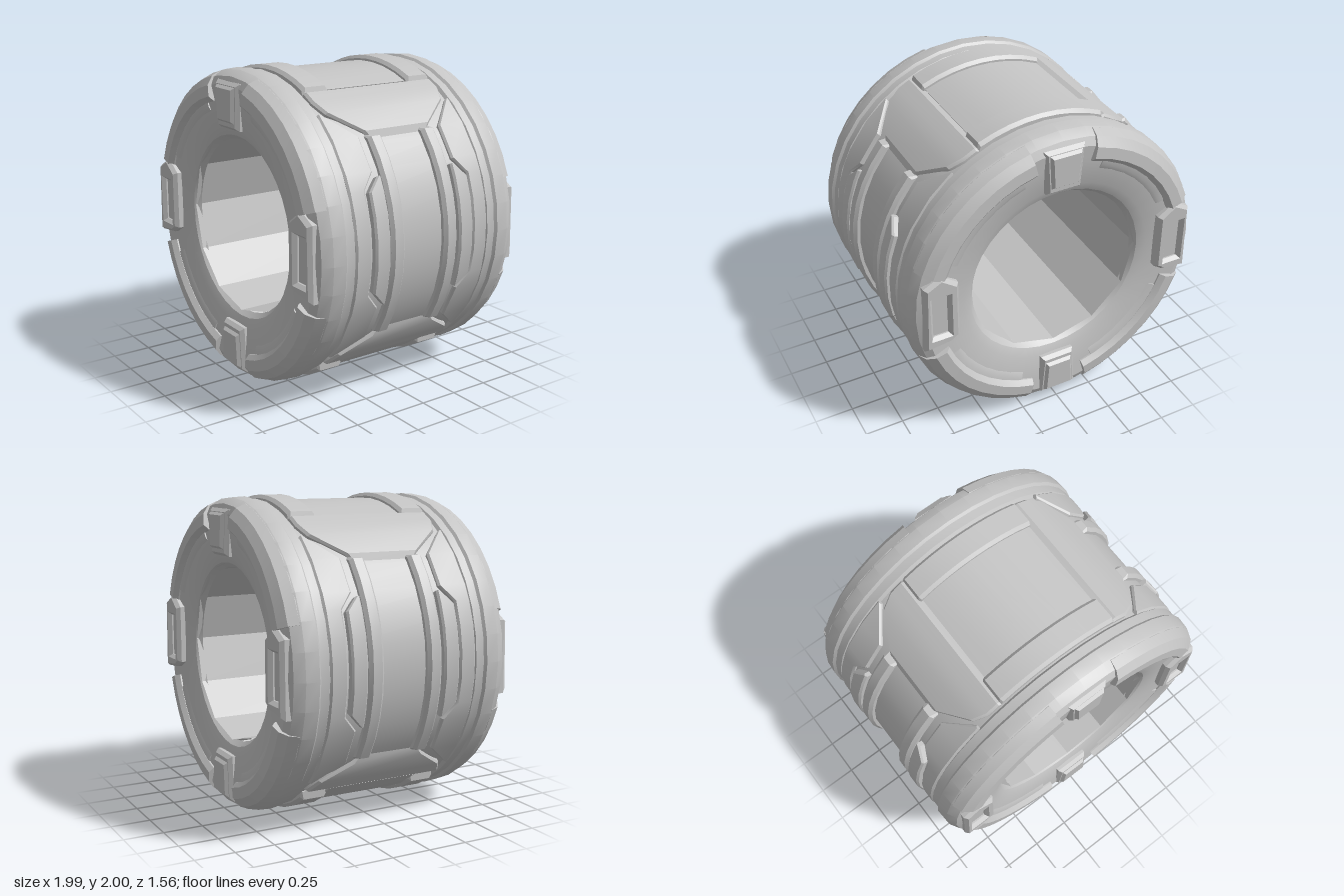
import * as THREE from 'three';
import { toCreasedNormals } from 'three/addons/utils/BufferGeometryUtils.js';

const metal = new THREE.MeshStandardMaterial({ color: 0xc4c4c4 });
metal.name = 'plainGrey';
const rad = THREE.MathUtils.degToRad;

function mesh(name, geometry, parent) {
  const m = new THREE.Mesh(toCreasedNormals(geometry, rad(28)), metal);
  m.name = name;
  parent.add(m);
  return m;
}

// Sweeps [radius, z] cross-sections round the z axis; sections = [{ a: degrees, p: profile }]
function sweep(sections, capped) {
  const pos = [], idx = [], n = sections[0].p.length;
  for (const { a, p } of sections)
    for (const [r, z] of p) pos.push(r * Math.cos(rad(a)), r * Math.sin(rad(a)), z);
  for (let i = 0; i + 1 < sections.length; i++)
    for (let j = 0; j < (capped ? n : n - 1); j++) {
      const k = (j + 1) % n, A = i * n, B = A + n;
      idx.push(A + j, B + j, A + k, B + j, B + k, A + k);
    }
  if (capped) {
    const E = (sections.length - 1) * n;
    for (let j = 1; j + 1 < n; j++) idx.push(0, j, j + 1, E, E + j + 1, E + j);
  }
  const g = new THREE.BufferGeometry();
  g.setAttribute('position', new THREE.Float32BufferAttribute(pos, 3));
  g.setIndex(idx);
  return g;
}

function arc(profile, a0, a1, n, capped) {
  const s = [];
  for (let i = 0; i <= n; i++) s.push({ a: a0 + (a1 - a0) * i / n, p: profile });
  return sweep(s, capped);
}

// Bevelled slab section lying on the barrel
function slab(z0, z1, top, bevel = 0.02, base = 0.9) {
  return [[base, z0], [top - bevel, z0], [top, z0 + bevel], [top, z1 - bevel], [top - bevel, z1], [base, z1]];
}

// Slab with sloping ends
function rail(z0, z1, a0, a1, top, n) {
  const s = [{ a: a0 - 2, p: slab(z0, z1, 0.955, 0.01) }];
  for (let i = 0; i <= n; i++) s.push({ a: a0 + (a1 - a0) * i / n, p: slab(z0, z1, top) });
  s.push({ a: a1 + 2, p: slab(z0, z1, 0.955, 0.01) });
  return sweep(s, true);
}

function padGeometry(outline, hole, depth) {
  const toVec = ([x, y]) => new THREE.Vector2(x, y);
  const shape = new THREE.Shape(outline.map(toVec));
  if (hole) shape.holes.push(new THREE.Path(hole.map(toVec)));
  return new THREE.ExtrudeGeometry(shape, {
    depth, bevelEnabled: true, bevelThickness: 0.025, bevelSize: 0.02, bevelOffset: -0.02, bevelSegments: 1,
  });
}

// Raised rim arcs and four pads on one end face
function buildEnd(name) {
  const end = new THREE.Group();
  end.name = name;
  const rim = [[0.8, 0.6], [0.96, 0.6], [0.98, 0.67], [0.955, 0.73], [0.9, 0.77], [0.83, 0.775], [0.8, 0.745]];
  const lip = [[0.72, 0.66], [0.82, 0.66], [0.82, 0.745], [0.77, 0.74], [0.74, 0.725]];
  for (let q = 0; q < 4; q++) {
    const a0 = q * 90 + (q % 2 ? 13 : 19), a1 = q * 90 + 90 - (q % 2 ? 19 : 13);
    mesh('rimArc', arc(rim, a0, a1, 7, true), end);
    mesh('innerLip', arc(lip, a0 + 6, a1 - 6, 6, true), end);
  }
  for (const s of [1, -1]) {
    // Side pads share the same upright shape, mirrored left to right
    const mirror = (pts) => (s > 0 ? pts : pts.map(([x, y]) => [-x, y]).reverse());
    const side = new THREE.Group();
    side.name = 'sidePad';
    mesh('sidePadFrame', padGeometry(
      mirror([[0.69, -0.16], [0.75, -0.2], [0.92, -0.22], [0.91, 0.24], [0.8, 0.3], [0.69, 0.22]]),
      mirror([[0.76, -0.13], [0.76, 0.15], [0.86, 0.15], [0.86, -0.13]]), 0.1), side).position.z = 0.655;
    mesh('sidePadInset', new THREE.BoxGeometry(0.14, 0.34, 0.1), side).position.set(0.81 * s, 0.01, 0.695);
    end.add(side);

    const small = new THREE.Group();
    small.name = 'smallPad';
    small.rotation.z = s > 0 ? 0 : Math.PI;
    mesh('smallPadBase', padGeometry(
      [[-0.135, 0.92], [-0.115, 0.63], [0.115, 0.63], [0.135, 0.92]], null, 0.09), small).position.z = 0.645;
    mesh('smallPadCap', padGeometry(
      [[-0.11, 0.9], [-0.095, 0.67], [0.095, 0.67], [0.11, 0.9]], null, 0.035), small).position.z = 0.72;
    end.add(small);
  }
  return end;
}

// Rails, brackets and corner blocks on one flank
function buildFlank(name) {
  const flank = new THREE.Group();
  flank.name = name;
  for (const s of [-1, 1]) {
    const span = (a, b) => (s > 0 ? [a, b] : [-b, -a]);
    mesh('longRail', rail(...span(0.15, 0.25), -32, 41, 0.995, 9), flank);
    // Bracket that narrows towards both ends
    const bracket = [[-18, 0.29], [-13, 0.37], [-4, 0.37], [5, 0.37], [14, 0.37], [22, 0.37], [27, 0.29]]
      .map(([a, z]) => ({ a, p: slab(...span(0.262, z), 0.998, 0.012) }));
    mesh('bracket', sweep(bracket, true), flank);
    // Shoulder band between the bracket and the end ring
    const shoulder = [[-44, 0.47], [-34, 0.3], [-20, 0.3], [-14, 0.385], [-5, 0.385], [5, 0.385],
      [14, 0.385], [23, 0.385], [29, 0.3], [42, 0.3], [53, 0.47]]
      .map(([a, z]) => ({ a, p: slab(...span(z, 0.5), 0.98, 0.012) }));
    mesh('shoulderBand', sweep(shoulder, true), flank);
  }
  // Corner blocks widening away from the flank
  const upper = [[41, 0.21, 0.95], [44, 0.25, 0.975], [53, 0.44, 0.985], [59, 0.48, 0.985], [64, 0.48, 0.985], [66, 0.48, 0.955]];
  const lower = [[-52, 0.48, 0.955], [-50, 0.48, 0.985], [-44, 0.43, 0.985], [-36, 0.25, 0.975], [-33, 0.21, 0.95]];
  for (const block of [upper, lower])
    mesh('cornerBlock', sweep(block.map(([a, z, r]) => ({ a, p: slab(-z, z, r, 0.015) })), true), flank);
  return flank;
}

export function createModel() {
  const model = new THREE.Group();
  model.name = 'hollowBarrel';
  const body = new THREE.Group();
  body.name = 'body';
  body.position.y = 1;
  model.add(body);

  // Outer shell with a stepped ring near each end
  const half = [[0.955, 0.49], [0.975, 0.505], [0.975, 0.56], [0.99, 0.575], [0.985, 0.66],
    [0.95, 0.72], [0.9, 0.745], [0.8, 0.735], [0.64, 0.715], [0.585, 0.69], [0.555, 0.65]];
  const back = half.map(([r, z]) => [r, -z]).reverse();
  mesh('shell', arc([...back, ...half], 0, 360, 36, false), body);

  // Faceted bore
  const bore = mesh('bore', arc([[0.572, 0.685], [0.572, -0.685]], 0, 360, 12, false), body);
  bore.position.y = 0.02;

  // Top and bottom panels framed by raised bars; the bottom one is wider
  const panels = [
    { turn: 90, bars: 24, reach: 24, top: 0.965 },
    { turn: -90, bars: 34, reach: 39, top: 0.98 },
  ];
  for (const { turn, bars, reach, top } of panels) {
    for (const s of [-1, 1]) {
      const bar = mesh('panelBar', rail(s > 0 ? 0.3 : -0.48, s > 0 ? 0.48 : -0.3, -bars, bars, 0.998, 8), body);
      bar.rotation.z = rad(turn);
    }
    mesh('panel', arc(slab(-0.31, 0.31, top, 0.005), -reach, reach, 7, true), body).rotation.z = rad(turn);
  }

  const left = buildFlank('leftFlank');
  const right = buildFlank('rightFlank');
  right.rotation.y = Math.PI;
  const front = buildEnd('frontEnd');
  const rear = buildEnd('backEnd');
  rear.rotation.y = Math.PI;
  body.add(left, right, front, rear);
  return model;
}
